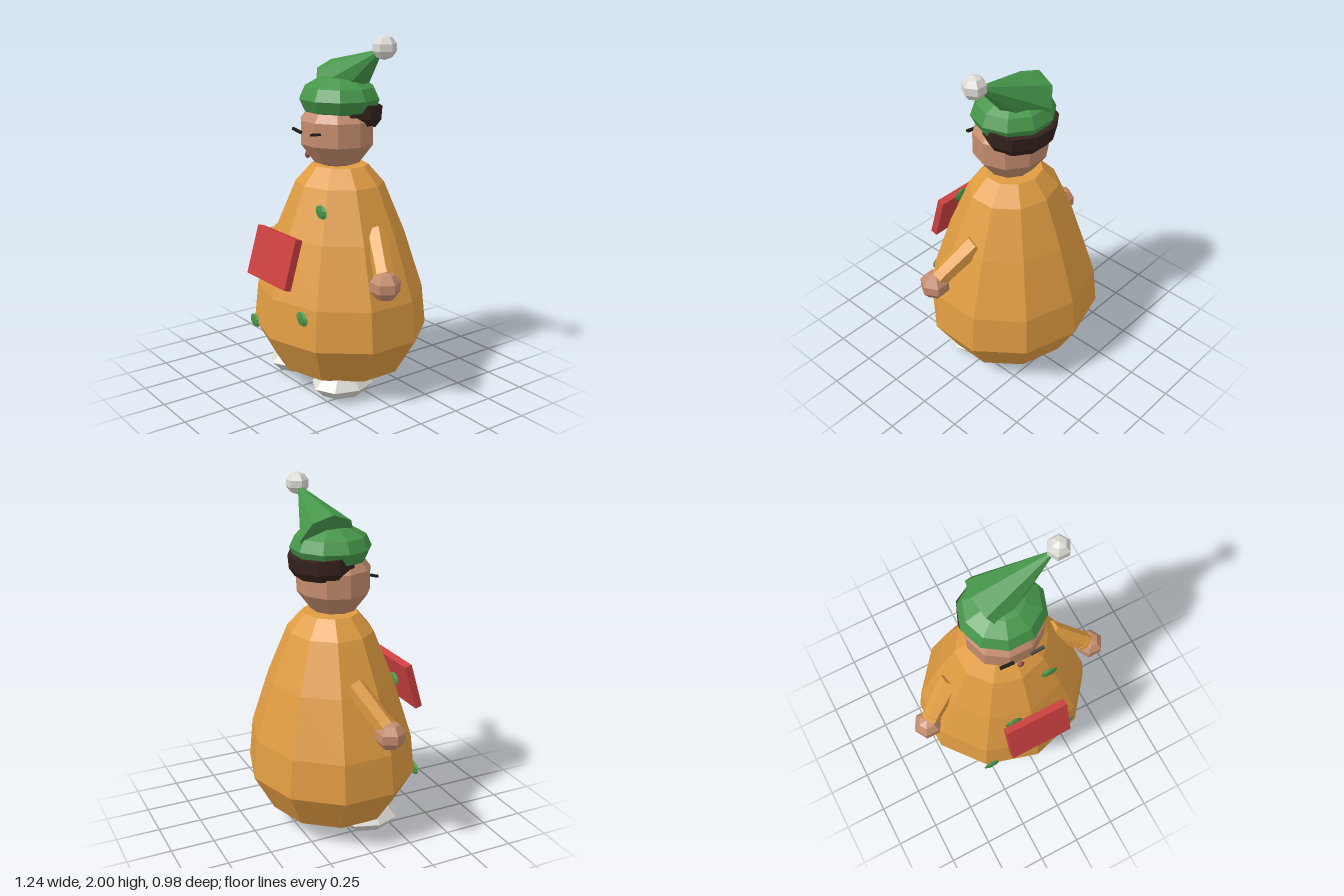
import * as THREE from 'three';

const mat = (color) => new THREE.MeshStandardMaterial({ color, flatShading: true });

export function createModel() {
  const model = new THREE.Group();
  const orange = mat(0xe09c42), skin = mat(0xc48c6e), green = mat(0x46964a), red = mat(0xcc4040);
  const hairBrown = mat(0x35221c), white = mat(0xdcdad4), black = mat(0x1c1c1c), lip = mat(0x8c4a40);

  const add = (name, geometry, material, x, y, z) => {
    const mesh = new THREE.Mesh(geometry, material);
    mesh.name = name;
    mesh.position.set(x, y, z);
    model.add(mesh);
    return mesh;
  };
  const ball = (name, material, pos, radii, cols, rows) =>
    add(name, new THREE.SphereGeometry(1, cols, rows).scale(...radii), material, ...pos);
  const lathe = (pts, sides) =>
    new THREE.LatheGeometry(pts.map(([r, y]) => new THREE.Vector2(r, y)), sides);
  // tapered limb between two points
  const limb = (name, material, a, b, ra, rb, sides) => {
    const p = new THREE.Vector3(...a), q = new THREE.Vector3(...b);
    const dir = q.clone().sub(p);
    const mid = p.clone().add(q).multiplyScalar(0.5);
    const mesh = add(name, new THREE.CylinderGeometry(rb, ra, dir.length(), sides), material, ...mid.toArray());
    mesh.quaternion.setFromUnitVectors(new THREE.Vector3(0, 1, 0), dir.normalize());
    return mesh;
  };

  // robe, closed at both ends and a little flatter front to back
  const robe = lathe([[0, 0.13], [0.4, 0.13], [0.53, 0.345], [0.505, 0.57], [0.39, 0.9],
    [0.265, 1.18], [0.17, 1.28], [0, 1.28]], 10).scale(1, 1, 0.9);
  add('robe', robe, orange, 0, 0, -0.015);

  // head and face
  ball('head', skin, [0, 1.465, 0.005], [0.226, 0.21, 0.213], 10, 5);
  ball('mouth', lip, [0, 1.354, 0.2], [0.021, 0.021, 0.012], 6, 4);
  const hair = lathe([[0, -0.065], [0.19, -0.065], [0.222, -0.02], [0.222, 0.055], [0, 0.06]], 10);
  hair.rotateY(Math.PI / 10).scale(1, 1, 0.8);
  add('hair', hair, hairBrown, 0, 1.565, -0.063).rotation.x = -0.1;

  // hat: rounded brim, drooping cone and bobble
  ball('hatBrim', green, [0, 1.645, -0.012], [0.235, 0.128, 0.224], 10, 6);
  const cone = new THREE.ConeGeometry(0.157, 0.45, 8).rotateY(Math.PI / 2).translate(0, 0.225, 0);
  add('hatCone', cone, green, -0.065, 1.706, -0.06).rotation.z = -Math.PI / 3;
  ball('hatBobble', white, [0.33, 1.936, -0.06], [0.067, 0.064, 0.067], 6, 5);

  // paired parts: left is +x
  for (const [side, s] of [['left', 1], ['right', -1]]) {
    limb(side + 'Arm', orange, [s * 0.32, 0.95, -0.025], [s * 0.525, 0.755, 0.075], 0.062, 0.052, 6);
    limb(side + 'Cuff', orange, [s * 0.49, 0.787, 0.06], [s * 0.512, 0.766, 0.07], 0.057, 0.057, 6);
    ball(side + 'Hand', skin, [s * 0.538, 0.727, 0.083], [0.086, 0.08, 0.086], 6, 5);
    ball(side + 'Foot', white, [s * 0.22, 0.079, 0.122], [0.153, 0.077, 0.188], 8, 4);
    add(side + 'Eye', new THREE.BoxGeometry(0.08, 0.013, 0.016), black, s * 0.088, 1.474, 0.209)
      .rotation.z = s * 0.16;
  }

  // tilted panel on the chest
  add('chestPanel', new THREE.BoxGeometry(0.38, 0.278, 0.043), red, 0, 0.812, 0.426).rotation.x = -0.285;

  // small flat leaves scattered over the front of the robe
  const leaves = [[0.165, 1.068, 0.228], [0.22, 0.515, 0.394], [-0.28, 0.348, 0.388], [-0.11, 0.85, 0.338]];
  for (const p of leaves) ball('leaf', green, p, [0.055, 0.04, 0.013], 6, 5);

  return model;
}
